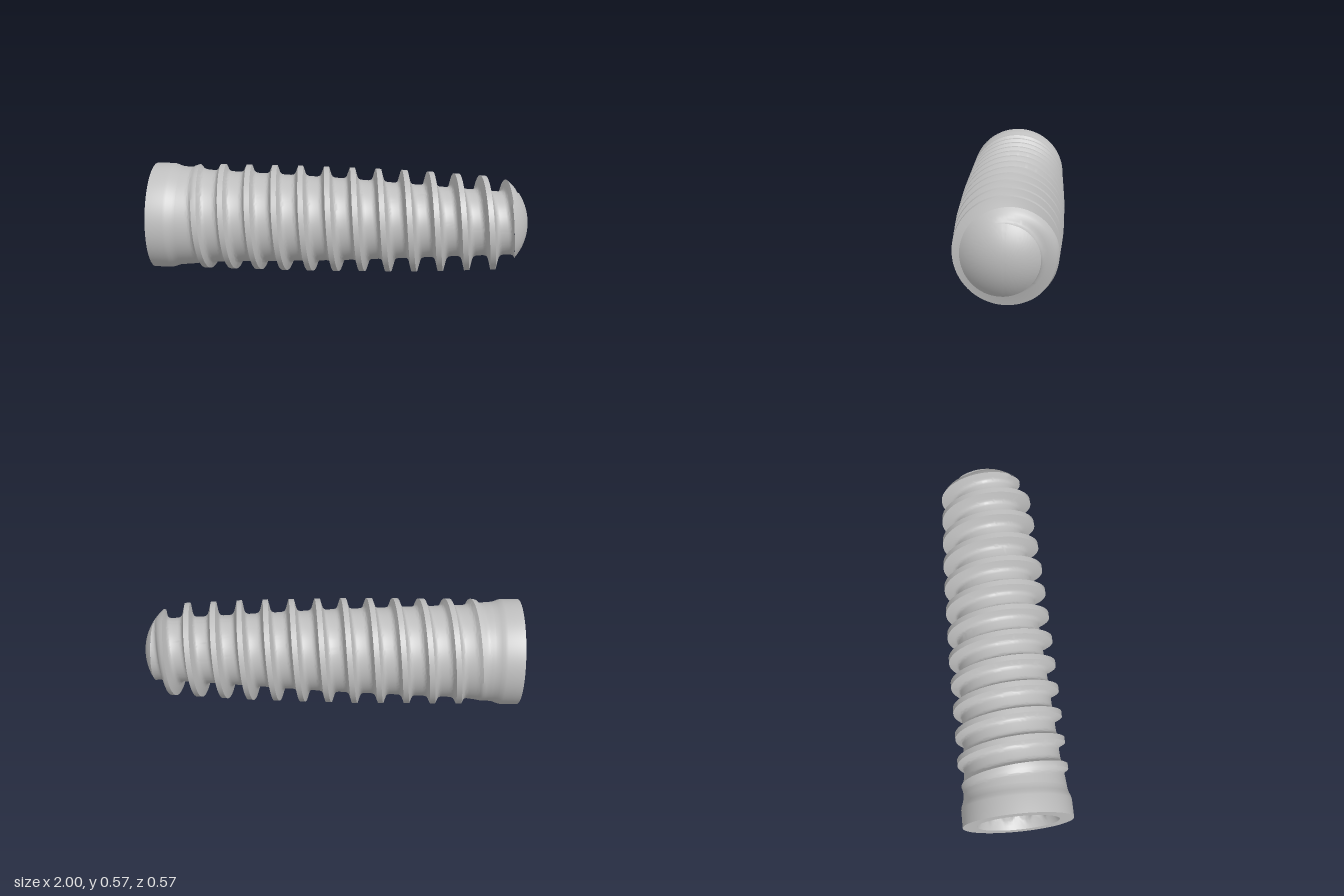
import * as THREE from 'three';
import { toCreasedNormals } from 'three/addons/utils/BufferGeometryUtils.js';

const R = 0.283;          // outer radius, also the height of the axis
const PITCH = 0.1396;     // thread advance per turn
const CREST = 0.066;      // x of one crest at the top of the screw
const START = -0.85;      // where the collar meets the threaded body
const TIP_R = 0.29;       // radius of the rounded tip
const COLS = 120;

// Piecewise linear lookup in a short list of [x, value] points
function lookup(points, x) {
  if (x <= points[0][0]) return points[0][1];
  for (let i = 1; i < points.length; i++) {
    const [x0, v0] = points[i - 1], [x1, v1] = points[i];
    if (x <= x1) return v0 + (v1 - v0) * (x - x0) / (x1 - x0);
  }
  return points[points.length - 1][1];
}

const ROOT = [[START, 0.267], [-0.79, 0.262], [-0.71, 0.25], [0, 0.222], [0.7, 0.178], [0.95, 0.164]];
const PEAK = [[-0.1, R], [0.4, 0.272], [0.85, 0.248], [1, 0.24]];
const TOOTH = [[0.014, 1], [0.026, 0.34], [0.030, 0.19], [0.035, 0.09], [0.042, 0.03], [0.052, 0]];

// Bullet-shaped limit: a cylinder that closes in a sphere at x = 1
const tipRadius = (x) => Math.sqrt(Math.max(0, TIP_R ** 2 - Math.max(0, x - 1 + TIP_R) ** 2));

// Radius of the threaded body at x and angle (0 = top, turning towards +z)
function threadRadius(x, a) {
  const turns = (x - CREST) / PITCH - a / (2 * Math.PI);
  const d = Math.abs(turns - Math.round(turns)) * PITCH;
  const root = lookup(ROOT, x);
  const fade = THREE.MathUtils.smoothstep(x, -0.83, -0.75);
  return root + (lookup(PEAK, x) - root) * lookup(TOOTH, d) * fade;
}

// Border of the rounded tip: the last place where the thread lies inside it,
// eased over the stretch where the last groove runs out
function tipEdge(a) {
  let x = 1;
  while (x > 0.8 && threadRadius(x, a) > tipRadius(x)) x -= 0.0005;
  return Math.max(x, Math.min(0.94, 0.97 - 0.1 * a));
}

// Skin around the x axis; at(row, angle) returns [x, radius]
function skin(rows, at, crease) {
  const grid = [];
  for (let j = 0; j <= COLS; j++) {
    const a = (j / COLS) * Math.PI * 2;
    grid.push(Array.from({ length: rows }, (_, i) => {
      const [x, r] = at(i, a);
      return new THREE.Vector3(x, R + r * Math.cos(a), r * Math.sin(a));
    }));
  }
  const pos = [];
  const tri = (...p) => {
    if (new THREE.Triangle(...p).getArea() > 1e-9) p.forEach((v) => pos.push(v.x, v.y, v.z));
  };
  for (let j = 0; j < COLS; j++) {
    for (let i = 0; i < rows - 1; i++) {
      const a = grid[j][i], b = grid[j + 1][i], c = grid[j][i + 1], d = grid[j + 1][i + 1];
      tri(a, b, c);
      tri(b, d, c);
    }
  }
  const geo = new THREE.BufferGeometry();
  geo.setAttribute('position', new THREE.Float32BufferAttribute(pos, 3));
  return toCreasedNormals(geo, crease);
}

export function createModel() {
  const group = new THREE.Group();
  group.name = 'threadedImplant';
  const metal = new THREE.MeshStandardMaterial({ color: 0xbfbfbf });
  metal.name = 'satin metal';
  const add = (name, geo) => {
    const mesh = new THREE.Mesh(geo, metal);
    mesh.name = name;
    group.add(mesh);
  };

  // Smooth collar with its end face
  const collar = [[-1, 0.21], [-1, R], [-0.91, R], [-0.895, 0.28], [-0.88, 0.274], [-0.865, 0.269], [START, 0.267]];
  add('collar', skin(collar.length, (i) => collar[i], 0.6));

  // Twelve-lobed socket with a tapered mouth and a narrower bore below
  const lobes = (a) => 0.168 + 0.026 * Math.abs(Math.sin(6 * a));
  const bore = [[-0.35, 0], [-0.35, 0.12], [-0.62, 0.12]];
  const mouth = [-0.62, -0.8, -0.9, -0.92, -0.93, -0.94, -0.95, -0.96, -0.98, -1];
  add('socket', skin(bore.length + mouth.length, (i, a) => {
    if (i < bore.length) return bore[i];
    const x = mouth[i - bore.length];
    return [x, Math.max(lobes(a), 0.21 - (x + 1) * 0.5)];
  }, 0.5));

  // Threaded body: rows follow the helix so that the crests stay crisp
  const offsets = [...TOOTH.map(([d]) => -d).reverse(), 0, ...TOOTH.map(([d]) => d)];
  const rows = [];
  for (let k = -8; k <= 7; k++) for (const d of offsets) rows.push(CREST + k * PITCH + d);
  add('threadedBody', skin(rows.length, (i, a) => {
    const x = THREE.MathUtils.clamp(rows[i] + PITCH * a / (2 * Math.PI), START, tipEdge(a));
    return [x, Math.min(threadRadius(x, a), tipRadius(x))];
  }, 0.7));

  // Rounded tip, from the end of the thread to the axis
  const TIP_ROWS = 16;
  add('roundedTip', skin(TIP_ROWS + 1, (i, a) => {
    const t = 1 - i / TIP_ROWS;
    const x = 1 - (1 - tipEdge(a)) * t * t;
    return [x, tipRadius(x)];
  }, 0.6));

  return group;
}
